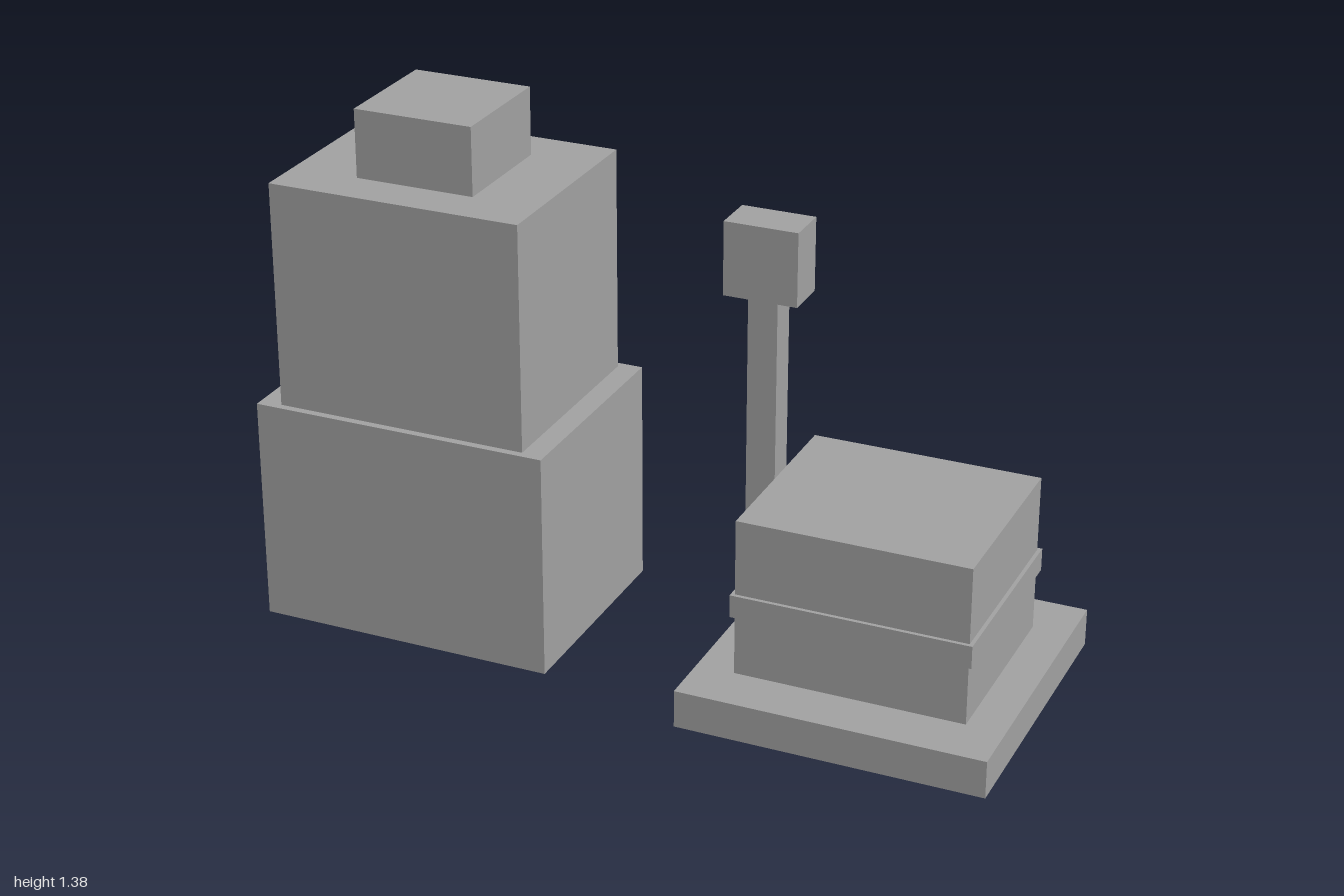
import * as THREE from 'three';

export function createModel() {
  const model = new THREE.Group();
  model.name = 'blockStation';
  const grey = new THREE.MeshStandardMaterial({ color: 0xa0a0a0 });
  grey.name = 'plain grey';

  // Box given by its size, the centre of its footprint and the height of its underside
  function block(parent, name, [w, h, d], x, bottom, z = 0) {
    const mesh = new THREE.Mesh(new THREE.BoxGeometry(w, h, d), grey);
    mesh.name = name;
    mesh.position.set(x, bottom + h / 2, z);
    parent.add(mesh);
  }

  function section(name) {
    const group = new THREE.Group();
    group.name = name;
    model.add(group);
    return group;
  }

  // Stepped cabinet
  const cabinet = section('cabinet');
  block(cabinet, 'cabinetBase', [0.8, 0.6, 0.6], -0.6, 0);
  block(cabinet, 'cabinetBody', [0.68, 0.6, 0.56], -0.6, 0.6);
  block(cabinet, 'cabinetCap', [0.32, 0.18, 0.32], -0.6, 1.2);

  // Platform carrying a banded crate
  const platform = section('platform');
  block(platform, 'platformSlab', [0.8, 0.1, 0.8], 0.6, 0);
  block(platform, 'crate', [0.6, 0.42, 0.52], 0.6, 0.1);
  block(platform, 'crateBand', [0.62, 0.06, 0.54], 0.6, 0.26);

  // Post with a display head beside the platform
  const post = section('displayPost');
  block(post, 'postShaft', [0.08, 0.88, 0.08], 0.16, 0, -0.28);
  block(post, 'postHead', [0.2, 0.2, 0.12], 0.16, 0.88, -0.28);

  return model;
}
